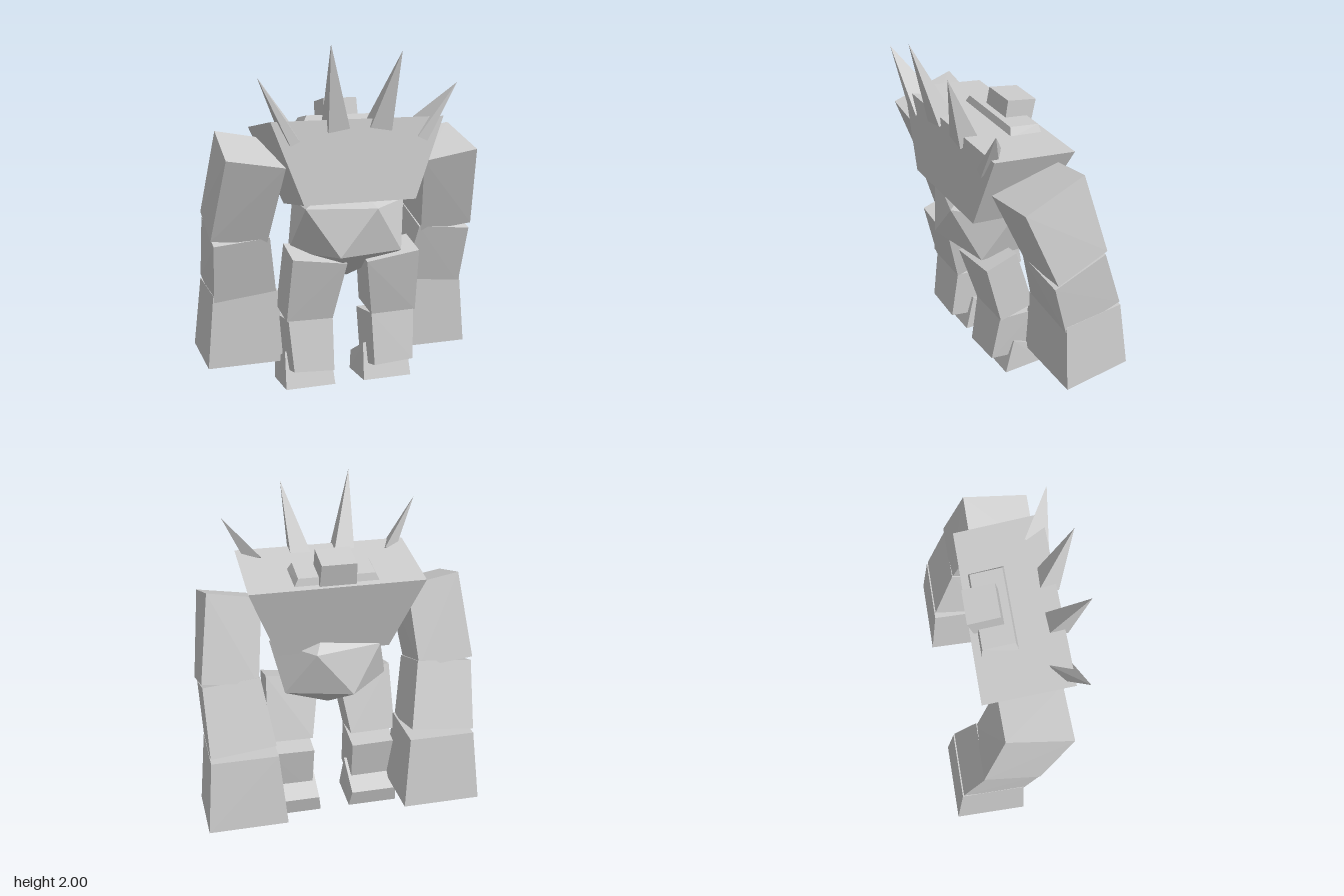
import * as THREE from 'three';
import { ConvexGeometry } from 'three/addons/geometries/ConvexGeometry.js';

const stone = new THREE.MeshStandardMaterial({ color: 0xcccccc });
stone.name = 'stone grey';

// Faceted solid around a few corner points
function solid(name, points) {
  const geometry = new ConvexGeometry(points.map((p) => new THREE.Vector3(...p)));
  const mesh = new THREE.Mesh(geometry, stone);
  mesh.name = name;
  return mesh;
}

// Block from a side profile: each row is [z, y, inner x, outer x];
// tilts lower the inner end of the top and bottom edges
function block(name, side, profile, topTilt = 0, bottomTilt = 0) {
  const points = [];
  profile.forEach(([z, y, inner, outer], i) => {
    const tilt = i < 2 ? topTilt : bottomTilt;
    points.push([side * outer, y, z], [side * inner, y - tilt, z]);
  });
  return solid(name, points);
}

// Block centred on x = 0: each row is [z, y, half width]
function centredBlock(name, profile) {
  return block(name, 1, profile.map(([z, y, w]) => [z, y, -w, w]));
}

// Five-sided gem with two staggered rings and two tips
function gem(name) {
  const cy = 0.955, cz = 0.093, points = [[0, cy + 0.302, cz], [0, cy - 0.302, cz]];
  for (let i = 0; i < 10; i++) {
    const a = THREE.MathUtils.degToRad(16 + i * 36);
    const y = cy + (i % 2 ? -0.135 : 0.135);
    points.push([0.352 * Math.sin(a), y, cz + 0.27 * Math.cos(a)]);
  }
  return solid(name, points);
}

export function createModel() {
  const model = new THREE.Group();
  model.name = 'golem';

  // Body, rows run front top, back top, back bottom, front bottom
  model.add(
    centredBlock('torso', [[0.31, 1.59, 0.505], [-0.19, 1.51, 0.505], [-0.07, 1.07, 0.33], [0.34, 1.13, 0.33]]),
    centredBlock('neck', [[0.04, 1.59, 0.22], [-0.14, 1.56, 0.22], [-0.15, 1.5, 0.25], [0.055, 1.54, 0.25]]),
    centredBlock('head', [[-0.02, 1.68, 0.1], [-0.2, 1.645, 0.1], [-0.165, 1.5, 0.105], [0.005, 1.54, 0.105]]),
    gem('abdomen')
  );

  for (const side of [1, -1]) {
    const label = side > 0 ? 'left' : 'right';

    // Arm
    const arm = new THREE.Group();
    arm.name = label + 'Arm';
    arm.add(
      block('upperArm', side, [[0.27, 1.385, 0.41, 0.742], [-0.1, 1.505, 0.42, 0.722],
        [-0.23, 1.02, 0.47, 0.79], [0.09, 0.91, 0.475, 0.8]], 0.055, 0.035),
      block('forearm', side, [[0.1, 0.88, 0.46, 0.785], [-0.225, 0.995, 0.46, 0.785],
        [-0.357, 0.61, 0.4, 0.775], [0, 0.51, 0.4, 0.77]], -0.03, -0.04),
      block('hand', side, [[0.005, 0.57, 0.39, 0.775], [-0.365, 0.585, 0.39, 0.775],
        [-0.415, 0.16, 0.352, 0.812], [0.005, 0.135, 0.352, 0.812]])
    );
    model.add(arm);

    // Leg
    const leg = new THREE.Group();
    leg.name = label + 'Leg';
    leg.add(
      block('thigh', side, [[0.285, 0.815, 0.06, 0.38], [0.09, 0.87, 0.06, 0.38],
        [-0.02, 0.475, 0.12, 0.395], [0.2, 0.435, 0.12, 0.395]], 0.045, 0.005),
      block('shin', side, [[0.2, 0.44, 0.12, 0.385], [-0.06, 0.41, 0.12, 0.385],
        [0, 0.09, 0.125, 0.36], [0.245, 0.145, 0.125, 0.365]], 0.005, 0.015),
      block('foot', side, [[0.1, 0.225, 0.105, 0.38], [-0.122, 0.105, 0.105, 0.38],
        [-0.095, 0, 0.09, 0.39], [0.16, 0.01, 0.09, 0.39]])
    );
    model.add(leg);

    // Spikes, the last point is the tip
    const outerTip = side > 0 ? [0.57, 1.78, 0.34] : [-0.585, 1.83, 0.35];
    const innerTip = side > 0 ? [0.21, 1.96, 0.41] : [-0.2, 2, 0.418];
    model.add(
      solid(label + 'InnerSpike', [[side * 0.19, 1.56, 0.22], [side * 0.07, 1.57, 0.22],
        [side * 0.06, 1.54, 0.325], [side * 0.185, 1.52, 0.33], innerTip]),
      solid(label + 'OuterSpike', [[side * 0.37, 1.58, 0.19], [side * 0.45, 1.54, 0.25],
        [side * 0.4, 1.455, 0.33], [side * 0.345, 1.48, 0.325], outerTip])
    );
  }
  return model;
}
